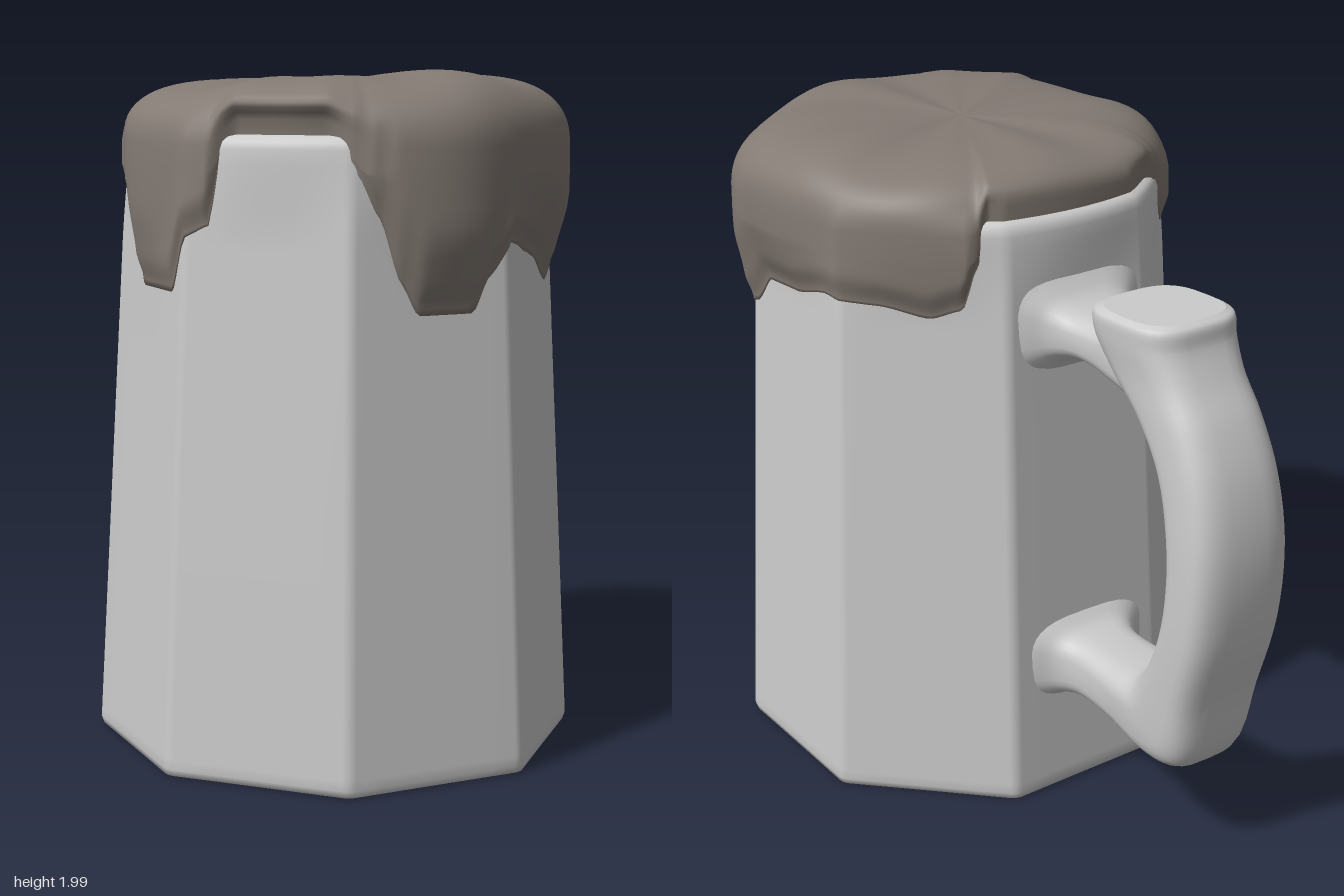
import * as THREE from 'three';

const CX = 0.27, CZ = 0.023;                // mug axis
const TURN = 6.5 * Math.PI / 180;           // rotation of the octagon
const STEP = Math.PI / 4;
const V = (x, y, z) => new THREE.Vector3(x, y, z);
const { smoothstep: smooth, lerp } = THREE.MathUtils;

// Skin closed rings of points, optionally closing the ends with flat caps
function loft(rows, capStart, capEnd) {
  const pos = [], idx = [], n = rows[0].length;
  rows.forEach(r => r.forEach(p => pos.push(p.x, p.y, p.z)));
  for (let i = 0; i < rows.length - 1; i++) {
    for (let j = 0; j < n; j++) {
      const a = i * n + j, b = i * n + (j + 1) % n;
      idx.push(a, a + n, b, b, a + n, b + n);
    }
  }
  const cap = (row, flip) => {
    const base = pos.length / 3, c = V(0, 0, 0);
    row.forEach(p => { pos.push(p.x, p.y, p.z); c.addScaledVector(p, 1 / n); });
    pos.push(c.x, c.y, c.z);
    for (let j = 0; j < n; j++) {
      const a = base + j, b = base + (j + 1) % n;
      idx.push(...(flip ? [b, a, base + n] : [a, b, base + n]));
    }
  };
  if (capStart) cap(rows[0], false);
  if (capEnd) cap(rows[rows.length - 1], true);
  // turn the faces outward if the rings ran the other way
  let volume = 0;
  const at = k => V(pos[3 * k], pos[3 * k + 1], pos[3 * k + 2]);
  for (let k = 0; k < idx.length; k += 3) volume += at(idx[k]).dot(at(idx[k + 1]).cross(at(idx[k + 2])));
  if (volume < 0) idx.reverse();
  const g = new THREE.BufferGeometry();
  g.setAttribute('position', new THREE.Float32BufferAttribute(pos, 3));
  g.setIndex(idx);
  g.computeVertexNormals();
  return g;
}

const polar = (t, r, y) => V(CX + r * Math.cos(t), y, CZ + r * Math.sin(t));
const bodyRadius = y => 0.717 - 0.055 * y;
// The octagon softens towards a circle at the rim
const soften = (r, R, y) => lerp(r, R * 0.98, 0.6 * smooth(y, 1.5, 1.8));

// Distance from the axis to the wall
function wall(t, y) {
  const k = (t - TURN) / STEP, R = bodyRadius(y);
  const local = (k - Math.floor(k) - 0.5) * STEP;
  return soften(R * Math.cos(STEP / 2) / Math.cos(local), R, y);
}

// Octagonal ring with rounded corners, inset by d
function bodyRing(d, y) {
  const flat = [], ring = [], round = 0.05, R = bodyRadius(y);
  for (let k = 0; k < 8; k++) {
    const t = TURN + k * STEP, c = R - round / Math.cos(STEP / 2) + 0.004;
    for (let s = -2; s <= 2; s++) {
      const a = t + s * STEP / 4;
      flat.push([c * Math.cos(t) + round * Math.cos(a), c * Math.sin(t) + round * Math.sin(a)]);
    }
  }
  flat.forEach(([x, z], i) => {
    const [x2, z2] = flat[(i + 1) % flat.length];
    const cuts = i % 5 === 4 ? 6 : 1;                   // extra points along each flat side
    for (let s = 0; s < cuts; s++) {
      const px = lerp(x, x2, s / cuts), pz = lerp(z, z2, s / cuts);
      ring.push(polar(Math.atan2(pz, px), soften(Math.hypot(px, pz), R, y) - d, y));
    }
  });
  return ring;
}

function bodyGeometry() {
  const rows = [[0.028, 0.005], [0.008, 0.01], [0, 0.03], [0, 0.06], [0, 0.6], [0, 1.2], [0, 1.5], [0, 1.56], [0, 1.62],
    [0, 1.68], [0, 1.74], [0, 1.78], [0.004, 1.8], [0.014, 1.814], [0.03, 1.82]].map(([d, y]) => bodyRing(d, y));
  return loft(rows, true, true);
}

// Lower edge of the foam: angle in degrees from +x towards +z, height
const drips = [[0, 1.51], [5, 1.52], [12, 1.43], [17, 1.33], [33, 1.33], [38, 1.42], [44, 1.6], [50, 1.72], [58, 1.79],
  [83, 1.79], [87, 1.74], [90, 1.57], [96, 1.54], [102, 1.38], [122, 1.38], [131, 1.6], [138, 1.68], [146, 1.65],
  [151, 1.62], [158, 1.66], [168, 1.74], [174, 1.79], [236, 1.79], [239, 1.7], [243, 1.57], [252, 1.54],
  [266, 1.57], [282, 1.58], [297, 1.54], [312, 1.53], [319, 1.44], [330, 1.38], [342, 1.46], [350, 1.48], [360, 1.51]];
function dripHeight(deg) {
  const i = Math.max(1, drips.findIndex(d => d[0] >= deg));
  const [a, ha] = drips[i - 1], [b, hb] = drips[i];
  return lerp(ha, hb, smooth(deg, a, b) * 0.5 + 0.5 * (deg - a) / (b - a));
}

// Uneven round outline of the foam: base circle plus bumps at given angles
function bump(deg, at, width) {
  const d = ((deg - at + 540) % 360 - 180) / width;
  return Math.exp(-d * d);
}
const foamRadius = deg => 0.633 + 0.02 * Math.cos(deg * Math.PI / 180) + 0.04 * bump(deg, 322, 16)
  + 0.022 * bump(deg, 128, 20) + 0.015 * bump(deg, 22, 14) - 0.025 * bump(deg, 70, 16) - 0.048 * bump(deg, 207, 38);

function foamGeometry() {
  const N = 288, SIDE = 12, DOME = 18, rows = [];
  for (let i = 0; i < 1 + SIDE + DOME; i++) {
    const row = [];
    for (let j = 0; j < N; j++) {
      const deg = j * 360 / N, t = deg * Math.PI / 180;
      const h = dripHeight(deg), shoulder = Math.max(h + 0.03, 1.72), R = foamRadius(deg);
      const bare = smooth(h, 1.7, 1.785);
      const side = y => {
        const skin = wall(t, y) + (0.006 + 0.022 * smooth(y, h, h + 0.09)) * (1 - bare) - 0.028 * bare;
        return lerp(skin, Math.max(skin, R), smooth(y, h + 0.02, h + 0.25) * (1 - bare));
      };
      if (i === 0) {                                    // hidden lip tucked into the wall
        row.push(polar(t, wall(t, h) - 0.04, h + 0.005));
      } else if (i <= SIDE) {                           // drips down the side
        const f = (i - 1) / (SIDE - 1), y = h + (shoulder - h) * f * (0.5 + 0.5 * f);
        row.push(polar(t, side(y), y));
      } else {                                          // puffy top
        const a = (i - SIDE) / DOME * Math.PI / 2;
        const rho = i === SIDE + DOME ? 0 : Math.sqrt(Math.cos(a));
        const swell = 0.045 * Math.max(0, Math.cos(t - 0.1)) + 0.012 + 0.01 * Math.sin(5 * t + 1) + 0.006 * Math.sin(9 * t);
        const y = shoulder + (1.96 - shoulder) * Math.sqrt(Math.sin(a)) + swell * rho * (1 - rho ** 6);
        row.push(polar(t, lerp(side(shoulder), R, smooth(a, 0, 0.4)) * rho, y));
      }
    }
    rows.push(row);
  }
  return loft(rows, false, false);
}

// Sweep from stations [inner u, inner y, outer u, outer y, half width]; u runs outward from the axis
const OUT = V(-0.877, 0, -0.48), ACROSS = V(-0.48, 0, 0.877);
function armGeometry(stations) {
  const inner = new THREE.CatmullRomCurve3(stations.map(s => V(s[0], s[1], s[4])), false, 'centripetal');
  const outer = new THREE.CatmullRomCurve3(stations.map(s => V(s[2], s[3], s[4])), false, 'centripetal');
  const rows = [], M = (stations.length - 1) * 5, K = 32;
  const sq = v => Math.sign(v) * Math.abs(v) ** 0.62;   // rounded-square section
  for (let i = 0; i <= M; i++) {
    const a = inner.getPoint(i / M), b = outer.getPoint(i / M), row = [];
    for (let k = 0; k < K; k++) {
      const p = k / K * Math.PI * 2;
      const q = a.clone().lerp(b, 0.5 + 0.5 * sq(Math.cos(p)));
      row.push(V(CX, q.y, CZ).addScaledVector(OUT, q.x).addScaledVector(ACROSS, a.z * sq(Math.sin(p))));
    }
    rows.push(row);
  }
  return loft(rows, true, true);
}

export function createModel() {
  const group = new THREE.Group();
  const grey = new THREE.MeshStandardMaterial({ color: 0xcccccc });
  const foamMaterial = new THREE.MeshStandardMaterial({ color: 0x837a73, side: THREE.DoubleSide });
  const add = (name, geometry, material) => {
    const mesh = new THREE.Mesh(geometry, material);
    mesh.name = name;
    group.add(mesh);
  };

  add('mugBody', bodyGeometry(), grey);
  add('foam', foamGeometry(), foamMaterial);

  // Thumb rest, grip and lower arm in one sweep
  add('handleGrip', armGeometry([
    [0.82, 1.65, 1.11, 1.66, 0.145], [0.79, 1.635, 1.135, 1.645, 0.165], [0.79, 1.59, 1.145, 1.59, 0.165],
    [0.86, 1.49, 1.19, 1.5, 0.155], [0.99, 1.38, 1.255, 1.4, 0.155], [1.09, 1.25, 1.32, 1.25, 0.16],
    [1.145, 1.05, 1.355, 1.05, 0.167], [1.14, 0.85, 1.34, 0.8, 0.167], [1.08, 0.67, 1.28, 0.57, 0.16],
    [0.99, 0.55, 1.22, 0.35, 0.15], [0.9, 0.53, 1.11, 0.31, 0.14], [0.82, 0.525, 0.9, 0.335, 0.125],
    [0.73, 0.53, 0.74, 0.34, 0.125], [0.68, 0.54, 0.68, 0.33, 0.155], [0.64, 0.57, 0.64, 0.31, 0.21],
    [0.61, 0.6, 0.61, 0.28, 0.25]]), grey);

  // Upper arm flaring into the wall
  add('handleUpperArm', armGeometry([
    [0.56, 1.33, 0.56, 1.68, 0.25], [0.6, 1.37, 0.6, 1.625, 0.2], [0.64, 1.405, 0.64, 1.585, 0.155],
    [0.7, 1.425, 0.7, 1.56, 0.125], [0.78, 1.425, 0.78, 1.56, 0.12], [0.88, 1.41, 0.88, 1.58, 0.13],
    [1.0, 1.385, 1.0, 1.58, 0.135]]), grey);

  return group;
}
